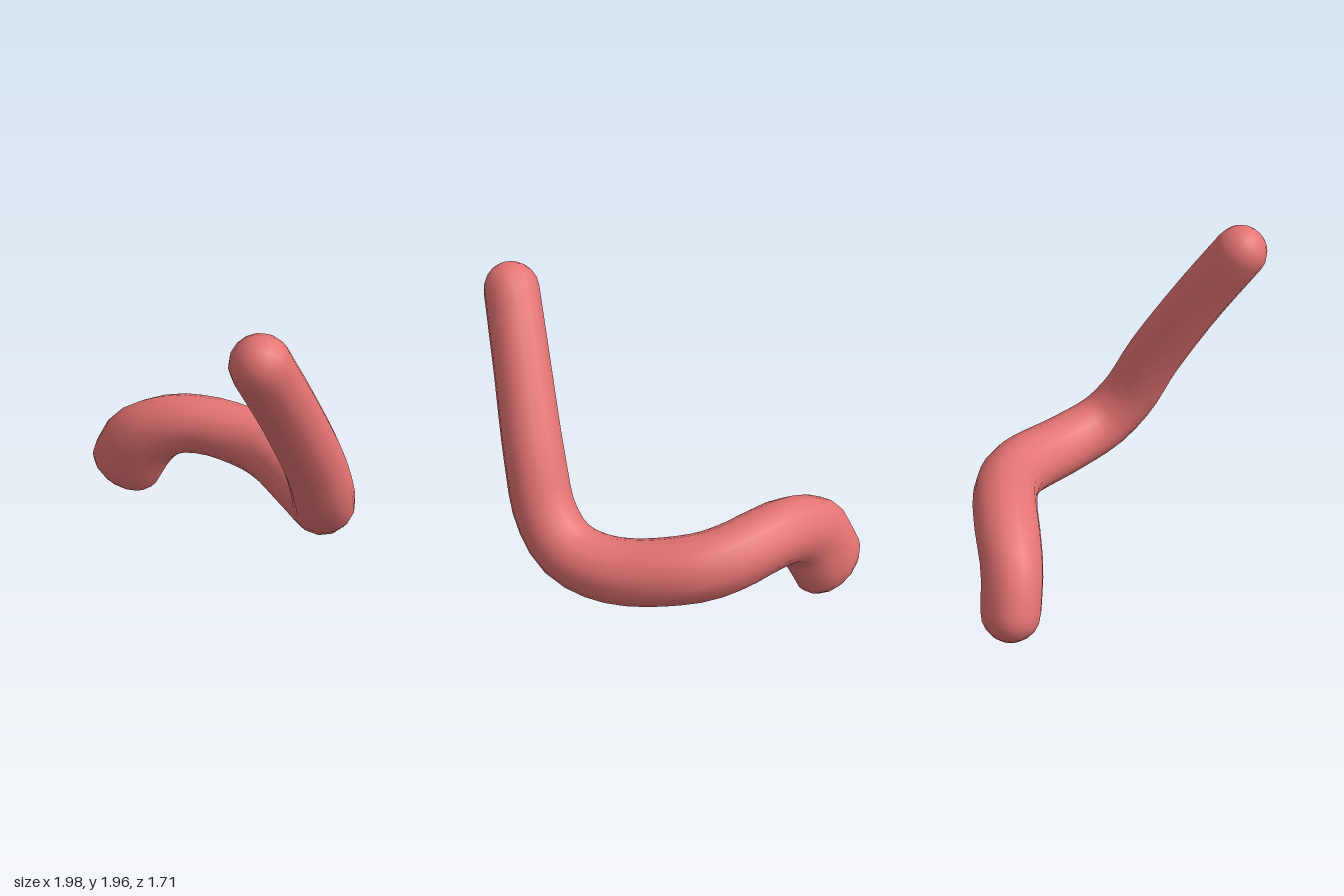
import * as THREE from 'three';
import { mergeVertices } from 'three/addons/utils/BufferGeometryUtils.js';

// Centreline stations: x, y, z, radius, widening
const STATIONS = [
  [0.66, 1.81, 0.70, 0.16, 0],
  [0.73, 1.43, 0.45, 0.165, 0],
  [0.80, 0.99, 0.19, 0.175, 0],
  [0.815, 0.70, 0.04, 0.18, 0],
  [0.76, 0.53, -0.12, 0.185, 0],
  [0.59, 0.465, -0.34, 0.19, 0],
  [0.22, 0.51, -0.61, 0.195, 0],
  [0, 0.54, -0.655, 0.193, 0],
  [-0.22, 0.565, -0.64, 0.19, 0],
  [-0.43, 0.545, -0.60, 0.19, 0.08],
  [-0.63, 0.42, -0.555, 0.18, 0.36],
  [-0.755, 0.205, -0.555, 0.175, 0.4],
];
const WIDE_AXIS = new THREE.Vector3(0.83, -0.55, -0.15).normalize();
const RINGS = 36, SIDES = 14, CAP = 5;

function buildBentTube() {
  const curve = new THREE.CatmullRomCurve3(STATIONS.map((s) => new THREE.Vector3(s[0], s[1], s[2])));
  const frames = curve.computeFrenetFrames(RINGS, false);
  const positions = [], index = [];
  let count = 0;

  // Add one cross-section, shifted along the tangent and shrunk for the round caps
  const addRing = (i, shift, shrink) => {
    const u = i / RINGS;
    const f = curve.getUtoTmapping(u) * (STATIONS.length - 1);
    const k = Math.min(Math.floor(f), STATIONS.length - 2);
    const mix = (c) => THREE.MathUtils.lerp(STATIONS[k][c], STATIONS[k + 1][c], f - k);
    const radius = mix(3), widen = mix(4);
    const centre = curve.getPointAt(u).addScaledVector(frames.tangents[i], shift * radius);
    for (let j = 0; j < SIDES; j++) {
      const a = (j / SIDES) * Math.PI * 2;
      const offset = new THREE.Vector3()
        .addScaledVector(frames.normals[i], Math.cos(a))
        .addScaledVector(frames.binormals[i], Math.sin(a))
        .multiplyScalar(radius * shrink);
      offset.addScaledVector(WIDE_AXIS, offset.dot(WIDE_AXIS) * widen);
      positions.push(...offset.add(centre).toArray());
    }
    count++;
  };

  for (let c = CAP; c > 0; c--) {
    const a = (c / CAP) * Math.PI / 2;
    addRing(0, -Math.sin(a), Math.cos(a));
  }
  for (let i = 0; i <= RINGS; i++) addRing(i, 0, 1);
  for (let c = 1; c <= CAP; c++) {
    const a = (c / CAP) * Math.PI / 2;
    addRing(RINGS, Math.sin(a), Math.cos(a));
  }

  for (let i = 0; i < count - 1; i++) {
    for (let j = 0; j < SIDES; j++) {
      const a = i * SIDES + j, b = i * SIDES + (j + 1) % SIDES;
      index.push(a, b, a + SIDES, b, b + SIDES, a + SIDES);
    }
  }

  let geometry = new THREE.BufferGeometry();
  geometry.setAttribute('position', new THREE.Float32BufferAttribute(positions, 3));
  geometry.setIndex(index);
  geometry = mergeVertices(geometry, 1e-4); // weld the cap tips
  geometry.computeVertexNormals();
  return geometry;
}

export function createModel() {
  const group = new THREE.Group();
  group.name = 'bentRod';
  // Round-ended rod with a tight elbow and a flattened lower end
  const rod = new THREE.Mesh(buildBentTube(), new THREE.MeshStandardMaterial({ color: 0xe57373 }));
  rod.name = 'rod';
  group.add(rod);
  return group;
}
